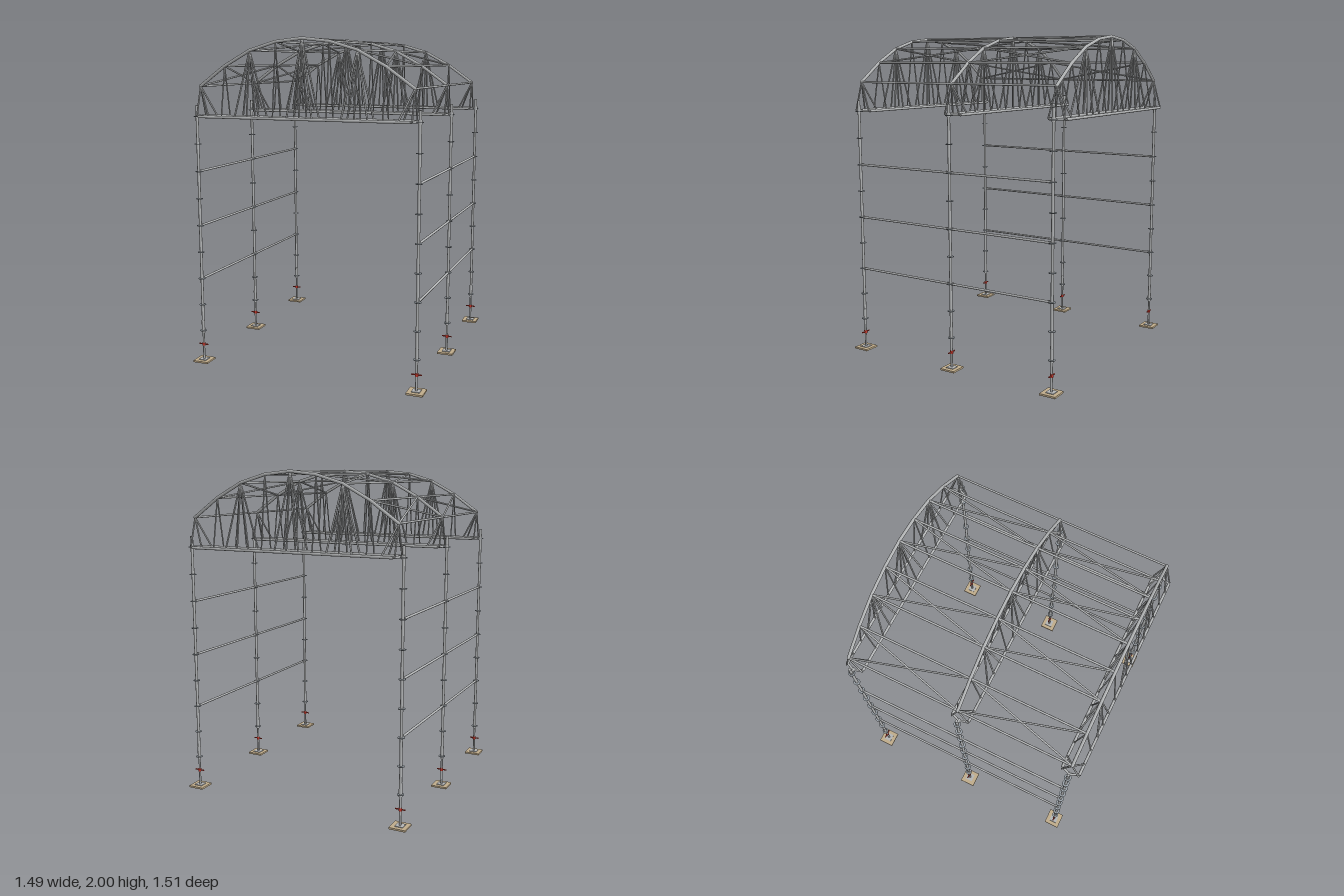
import * as THREE from 'three';

const mat = (name, color) => {
  const m = new THREE.MeshStandardMaterial({ color });
  m.name = name;
  return m;
};

const V = (x, y, z) => new THREE.Vector3(x, y, z);

export function createModel() {
  const steel = mat('galvanised steel', 0xb2b4b5);
  const rosetteSteel = mat('rosette steel', 0x9ba3aa);
  const red = mat('red handle', 0xc8382c);
  const wood = mat('timber pad', 0xbfab8a);

  const model = new THREE.Group();
  model.name = 'archedScaffoldShelter';

  const group = (name) => {
    const g = new THREE.Group();
    g.name = name;
    model.add(g);
    return g;
  };

  // round bar between two points
  const bar = (parent, name, a, b, r, material = steel, sides = 10) => {
    const dir = b.clone().sub(a);
    const mesh = new THREE.Mesh(new THREE.CylinderGeometry(r, r, dir.length(), sides), material);
    mesh.position.copy(a).add(b).multiplyScalar(0.5);
    mesh.quaternion.setFromUnitVectors(V(0, 1, 0), dir.normalize());
    mesh.name = name;
    parent.add(mesh);
  };
  const box = (parent, name, w, h, d, x, y, z, material) => {
    const mesh = new THREE.Mesh(new THREE.BoxGeometry(w, h, d), material);
    mesh.position.set(x, y, z);
    mesh.name = name;
    parent.add(mesh);
  };

  const postX = 0.693;
  const rows = [-0.693, 0, 0.693];
  const ledgerY = [0.533, 0.867, 1.202];
  const sides = [-1, 1];

  // arch nodes, evenly spaced along x
  const heights = [1.988, 1.97, 1.922, 1.833, 1.715];
  const nodes = [];
  for (let i = -4; i <= 4; i++) nodes.push([i * 0.1655, heights[Math.abs(i)]]);

  // posts with timber pad, base plate, screw jack, handle and rosettes
  for (const s of sides) for (const z of rows) {
    const x = s * postX;
    const post = group('post');
    box(post, 'timberPad', 0.1, 0.011, 0.1, x, 0.0055, z, wood);
    box(post, 'basePlate', 0.05, 0.004, 0.05, x, 0.013, z, steel);
    bar(post, 'screwJack', V(x, 0.012, z), V(x, 0.21, z), 0.0068);
    bar(post, 'jackNut', V(x, 0.1, z), V(x, 0.118, z), 0.01, red);
    bar(post, 'jackHandle', V(x - 0.031, 0.109, z), V(x + 0.031, 0.109, z), 0.0042, red, 8);
    bar(post, 'baseCollar', V(x, 0.185, z), V(x, 0.265, z), 0.0105, steel, 12);
    bar(post, 'standard', V(x, 0.2, z), V(x, 1.601, z), 0.0088, steel, 12);
    for (let i = 0; i < 9; i++) {
      const y = 0.199 + i * 0.167;
      bar(post, 'rosette', V(x, y - 0.002, z), V(x, y + 0.002, z), 0.021, rosetteSteel, 12);
    }
  }

  // side ledgers with wedge heads
  for (const s of sides) {
    const rails = group('sideLedgers');
    const x = s * postX;
    for (const y of ledgerY) for (let k = 0; k < 2; k++) {
      const z0 = rows[k], z1 = rows[k + 1];
      bar(rails, 'ledger', V(x, y, z0 + 0.012), V(x, y, z1 - 0.012), 0.0072);
      for (const z of [z0 + 0.017, z1 - 0.017]) box(rails, 'wedgeHead', 0.009, 0.018, 0.016, x, y, z, steel);
    }
  }

  // triangular arched trusses
  const lowY = 1.537, spread = 0.052, endX = 0.652;
  for (const z of rows) {
    const truss = group('archedTruss');
    for (let i = 0; i < 8; i++) {
      bar(truss, 'archChord', V(...nodes[i], z), V(...nodes[i + 1], z), 0.0095);
    }
    for (const [x, y] of nodes) {
      const joint = new THREE.Mesh(new THREE.SphereGeometry(0.0095, 10, 6), steel);
      joint.position.set(x, y, z);
      joint.name = 'archJoint';
      truss.add(joint);
    }
    for (const t of sides) {
      const zc = z + t * spread;
      bar(truss, 'bottomChord', V(-endX, lowY, zc), V(endX, lowY, zc), 0.0085);
      nodes.forEach(([x, y], i) => {
        const main = i % 2 === 0;
        bar(truss, 'webUpright', V(x, y, z), V(x, lowY, zc), main ? 0.005 : 0.0042, steel, 8);
        // fanned diagonals on every second node
        if (main) for (const d of sides) {
          const foot = x + d * 0.079;
          if (Math.abs(foot) < endX) bar(truss, 'webDiagonal', V(x, y, z), V(foot, lowY, zc), 0.0052, steel, 8);
        }
      });
      // splayed end yoke
      for (const s of sides) bar(truss, 'endYoke', V(s * 0.672, lowY, z), V(s * 0.65, lowY, zc), 0.007);
    }
    // connection to the posts
    for (const s of sides) {
      bar(truss, 'postConnector', V(s * 0.66, lowY, z), V(s * postX, lowY, z), 0.008);
      bar(truss, 'postClamp', V(s * postX, lowY - 0.012, z), V(s * postX, lowY + 0.012, z), 0.012, steel, 12);
    }
  }

  // roof purlins and cross bracing in alternate panels
  const roof = group('roofFraming');
  for (let k = 0; k < 2; k++) {
    const z0 = rows[k], z1 = rows[k + 1];
    for (const [x, y] of nodes) bar(roof, 'purlin', V(x, y, z0), V(x, y, z1), 0.0064);
    for (const i of [0, 2, 4, 6]) {
      const a = nodes[i], b = nodes[i + 1];
      bar(roof, 'crossBrace', V(...a, z0), V(...b, z1), 0.0056);
      bar(roof, 'crossBrace', V(...b, z0), V(...a, z1), 0.0056);
    }
  }

  return model;
}
